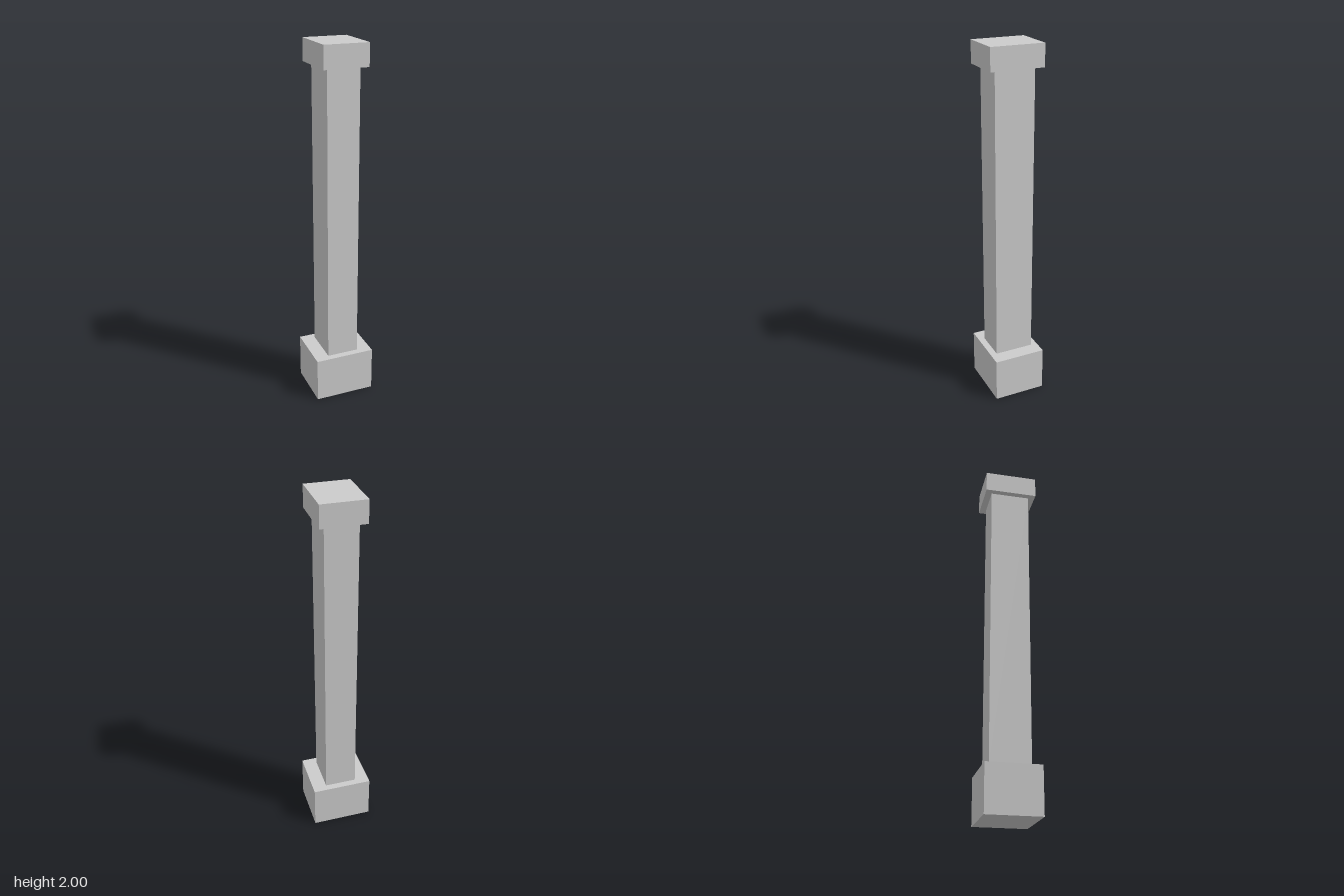
import * as THREE from 'three';

export function createModel() {
  const group = new THREE.Group();
  group.name = 'column';
  const material = new THREE.MeshStandardMaterial({ color: 0xcccccc, flatShading: true });

  // Box block spanning y0..y1
  const block = (name, width, depth, y0, y1) => {
    const mesh = new THREE.Mesh(new THREE.BoxGeometry(width, y1 - y0, depth), material);
    mesh.name = name;
    mesh.position.y = (y0 + y1) / 2;
    group.add(mesh);
  };

  block('base', 0.338, 0.294, 0, 0.252);
  block('shaft', 0.178, 0.22, 0.252, 1.88);
  block('capital', 0.243, 0.294, 1.88, 2);

  return group;
}
